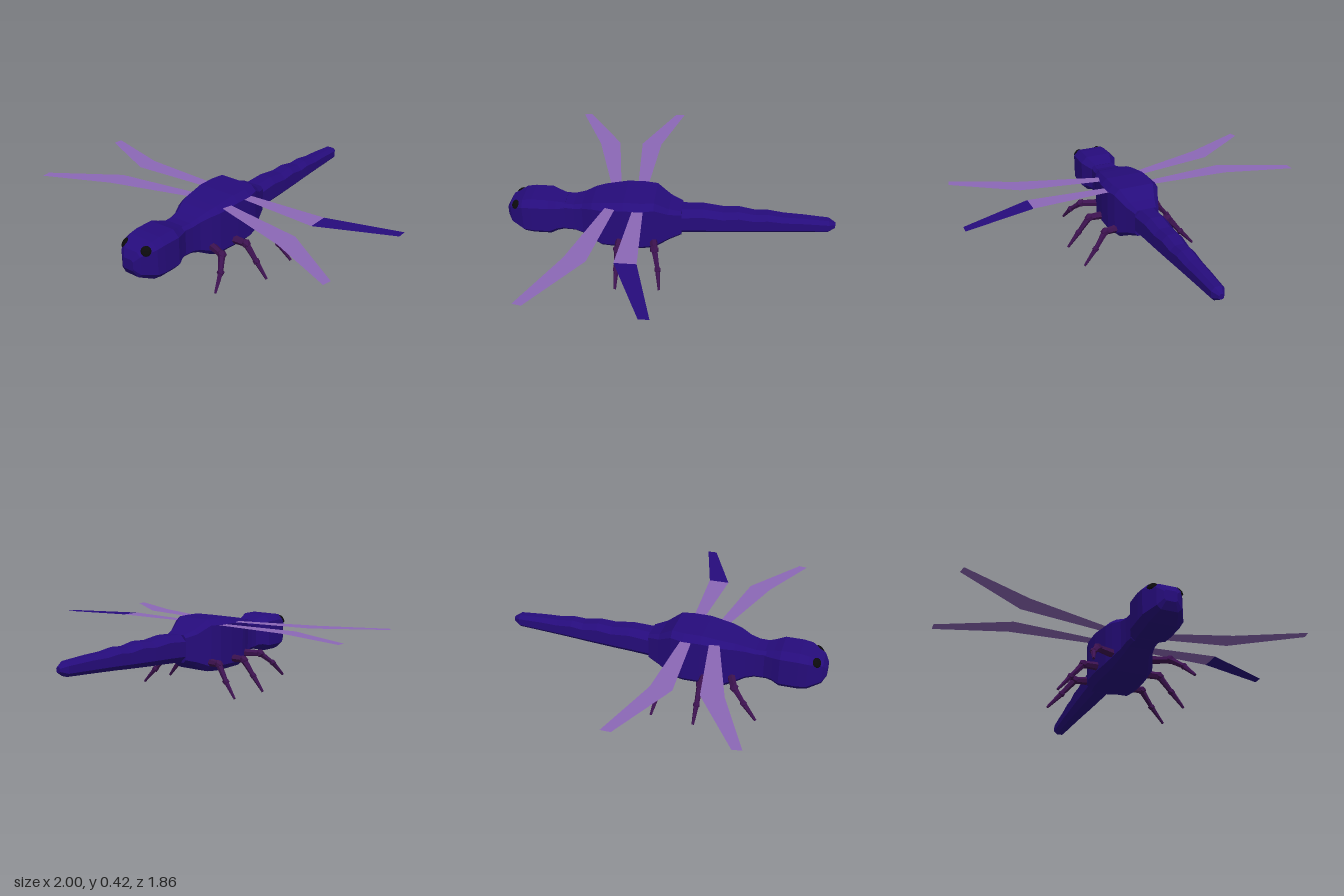
import * as THREE from 'three';

const mat = (name, color, extra = {}) => {
  const m = new THREE.MeshStandardMaterial({ color, ...extra });
  m.name = name;
  return m;
};

function add(parent, name, geometry, material) {
  const mesh = new THREE.Mesh(geometry, material);
  mesh.name = name;
  parent.add(mesh);
  return mesh;
}

// Chamfered-box sections [z, halfWidth, bottom, top], front to back, joined with flat faces
function loft(sections, chamfer) {
  const pos = [], idx = [];
  for (const [z, w, y0, y1] of sections) {
    const cy = (y0 + y1) / 2, h = (y1 - y0) / 2, c = Math.min(w, h) * chamfer;
    const ring = [[w, c - h], [w, h - c], [w - c, h], [c - w, h], [-w, h - c], [-w, c - h], [c - w, -h], [w - c, -h]];
    for (const [x, y] of ring) pos.push(x, cy + y, z);
  }
  const last = (sections.length - 1) * 8;
  for (let i = 0; i < last; i += 8) {
    for (let k = 0; k < 8; k++) {
      const a = i + k, d = i + (k + 1) % 8;
      idx.push(a, a + 8, d + 8, a, d + 8, d);
    }
  }
  for (let k = 1; k < 7; k++) idx.push(0, k, k + 1, last, last + k + 1, last + k);
  const g = new THREE.BufferGeometry();
  g.setAttribute('position', new THREE.Float32BufferAttribute(pos, 3));
  g.setIndex(idx);
  const flat = g.toNonIndexed();
  flat.computeVertexNormals();
  return flat;
}

// Flat four-cornered wing panel at height y, corners given as [x, z]
function panel(corners, side, y) {
  const shape = new THREE.Shape(corners.map(([x, z]) => new THREE.Vector2(x * side, -z)));
  return new THREE.ShapeGeometry(shape).rotateX(-Math.PI / 2).translate(0, y, 0);
}

// Tapered rod between two points
function rod(a, b, ra, rb) {
  const dir = b.clone().sub(a), len = dir.length();
  const q = new THREE.Quaternion().setFromUnitVectors(new THREE.Vector3(0, 1, 0), dir.normalize());
  return new THREE.CylinderGeometry(rb, ra, len, 6).translate(0, len / 2, 0)
    .applyQuaternion(q).translate(a.x, a.y, a.z);
}

export function createModel() {
  const model = new THREE.Group();
  model.name = 'dragonfly';
  const indigo = mat('body indigo', 0x260c7c, { flatShading: true });
  const indigoSheet = mat('wing tip indigo', 0x260c7c, { side: THREE.DoubleSide });
  const lilac = mat('wing lilac', 0x8c68b6, { side: THREE.DoubleSide });
  const plum = mat('leg plum', 0x3d1250, { flatShading: true });
  const black = mat('eye black', 0x0b0a0c, { flatShading: true });

  // Body, front to back
  add(model, 'head', loft([
    [0.928, 0.035, 0.245, 0.305], [0.905, 0.065, 0.205, 0.345], [0.83, 0.108, 0.172, 0.38],
    [0.78, 0.112, 0.165, 0.388], [0.68, 0.112, 0.165, 0.388], [0.64, 0.095, 0.18, 0.375],
    [0.59, 0.075, 0.185, 0.362],
  ], 0.32), indigo);
  add(model, 'thorax', loft([
    [0.6, 0.075, 0.185, 0.36], [0.54, 0.08, 0.185, 0.36], [0.49, 0.088, 0.17, 0.372],
    [0.43, 0.115, 0.14, 0.395], [0.38, 0.132, 0.12, 0.405], [0.25, 0.148, 0.12, 0.425],
    [0.15, 0.15, 0.12, 0.425], [0.08, 0.135, 0.125, 0.425], [0, 0.1, 0.165, 0.372],
    [-0.07, 0.072, 0.19, 0.348],
  ], 0.23), indigo);
  add(model, 'abdomen', loft([
    [-0.06, 0.073, 0.19, 0.348], [-0.19, 0.068, 0.198, 0.354], [-0.3, 0.064, 0.203, 0.34],
    [-0.39, 0.06, 0.208, 0.346], [-0.48, 0.056, 0.213, 0.33], [-0.55, 0.053, 0.218, 0.335],
    [-0.64, 0.049, 0.223, 0.323], [-0.74, 0.044, 0.228, 0.32], [-0.89, 0.037, 0.235, 0.31],
    [-0.928, 0.014, 0.258, 0.288],
  ], 0.5), indigo);

  // Legs as hip, knee, ankle and foot points on the +x side
  const legs = {
    frontLeg: [[0.1, 0.19, 0.42], [0.205, 0.19, 0.46], [0.25, 0.13, 0.525], [0.275, 0.05, 0.6]],
    middleLeg: [[0.12, 0.18, 0.275], [0.22, 0.18, 0.275], [0.29, 0.095, 0.275], [0.36, 0.01, 0.275]],
    rearLeg: [[0.11, 0.18, 0.085], [0.2, 0.18, 0.07], [0.27, 0.095, 0.045], [0.345, 0.01, 0.03]],
  };
  // Wings as inner and outer panels on the +x side
  const wings = {
    frontWing: [[0.1, 0.29], [0.6, 0.37], [0.96, 0.612], [0.95, 0.66], [0.58, 0.49], [0.1, 0.345]],
    rearWing: [[0.1, 0.14], [0.6, 0.112], [1, 0], [1, 0.055], [0.6, 0.23], [0.1, 0.195]],
  };

  for (const side of [1, -1]) {
    const label = side > 0 ? 'left' : 'right';

    const eye = add(model, `${label} eye`, new THREE.SphereGeometry(0.027, 8, 6).scale(1, 1, 0.4), black);
    eye.position.set(side * 0.073, 0.347, 0.872);
    eye.lookAt(side * 1.073, 1.347, 1.9);

    for (const [name, pts] of Object.entries(legs)) {
      const leg = new THREE.Group();
      leg.name = `${label} ${name}`;
      const [hip, knee, ankle, foot] = pts.map(([x, y, z]) => new THREE.Vector3(x * side, y, z));
      add(leg, 'upper leg', rod(hip, knee, 0.024, 0.019), plum);
      add(leg, 'lower leg', rod(knee, ankle, 0.019, 0.013), plum);
      add(leg, 'foot', rod(ankle, foot, 0.015, 0.007), plum);
      add(leg, 'knee', new THREE.IcosahedronGeometry(0.027, 0), plum).position.copy(knee);
      add(leg, 'ankle', new THREE.IcosahedronGeometry(0.021, 0), plum).position.copy(ankle);
      model.add(leg);
    }

    for (const [name, p] of Object.entries(wings)) {
      const wing = new THREE.Group();
      wing.name = `${label} ${name}`;
      const darkTip = name === 'rearWing' && side > 0;
      add(wing, 'inner panel', panel([p[0], p[1], p[4], p[5]], side, 0.39), lilac);
      add(wing, 'outer panel', panel([p[1], p[2], p[3], p[4]], side, 0.39), darkTip ? indigoSheet : lilac);
      model.add(wing);
    }
  }
  return model;
}
